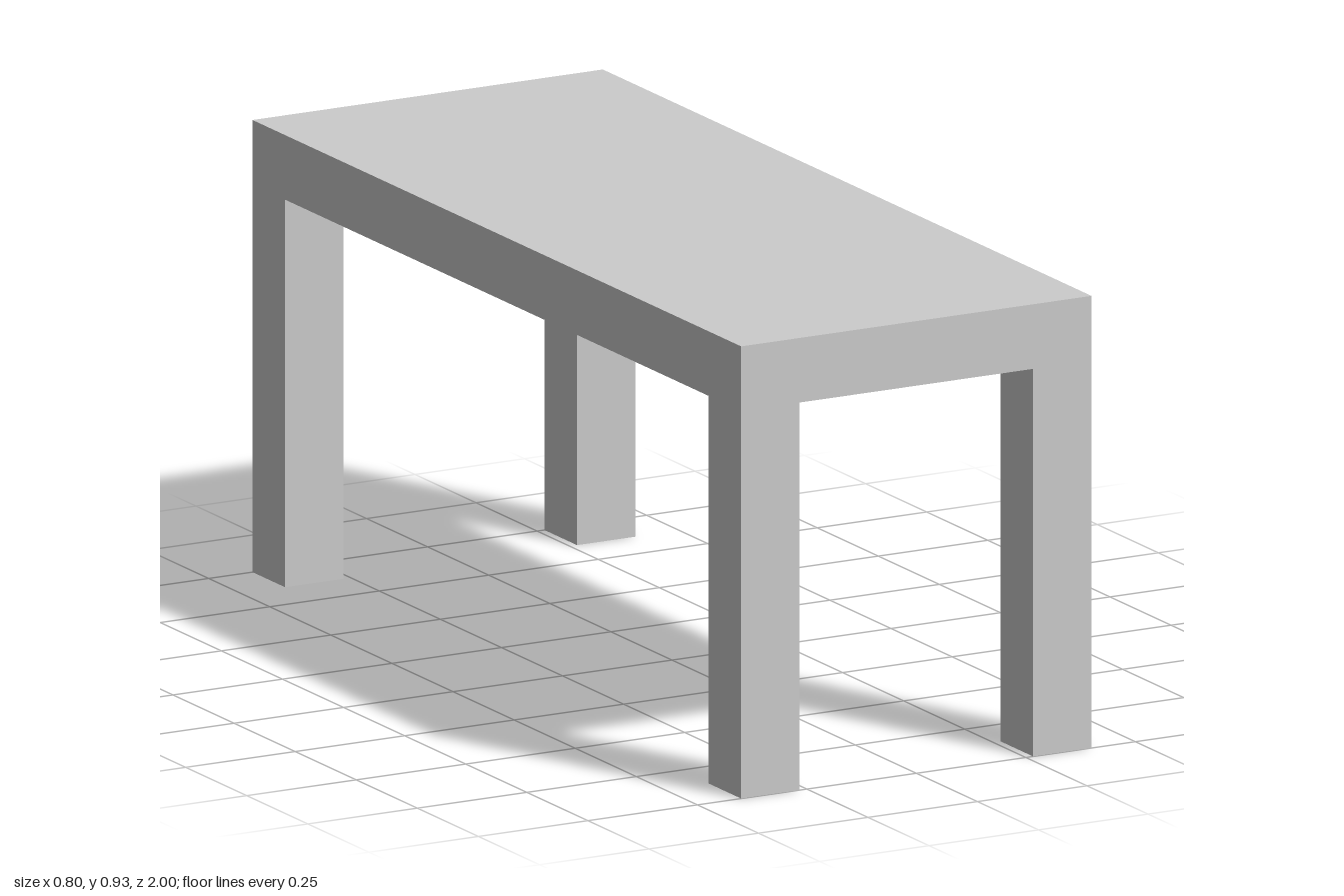
import * as THREE from 'three';

const WIDTH = 0.8, LENGTH = 2, THICK = 0.1333, LEG_HEIGHT = 0.8;

export function createModel() {
  const table = new THREE.Group();
  table.name = 'table';
  const material = new THREE.MeshStandardMaterial({ color: 0xcccccc, flatShading: true });

  const addBox = (name, size, position) => {
    const mesh = new THREE.Mesh(new THREE.BoxGeometry(...size), material);
    mesh.name = name;
    mesh.position.set(...position);
    table.add(mesh);
  };

  // Thick slab top
  addBox('tableTop', [WIDTH, THICK, LENGTH], [0, LEG_HEIGHT + THICK / 2, 0]);

  // Square legs, flush with the corners of the top
  const legX = (WIDTH - THICK) / 2, legZ = (LENGTH - THICK) / 2;
  for (const [end, sz] of [['front', 1], ['back', -1]]) {
    for (const [side, sx] of [['Left', 1], ['Right', -1]]) {
      addBox(`${end}${side}Leg`, [THICK, LEG_HEIGHT, THICK], [sx * legX, LEG_HEIGHT / 2, sz * legZ]);
    }
  }
  return table;
}
